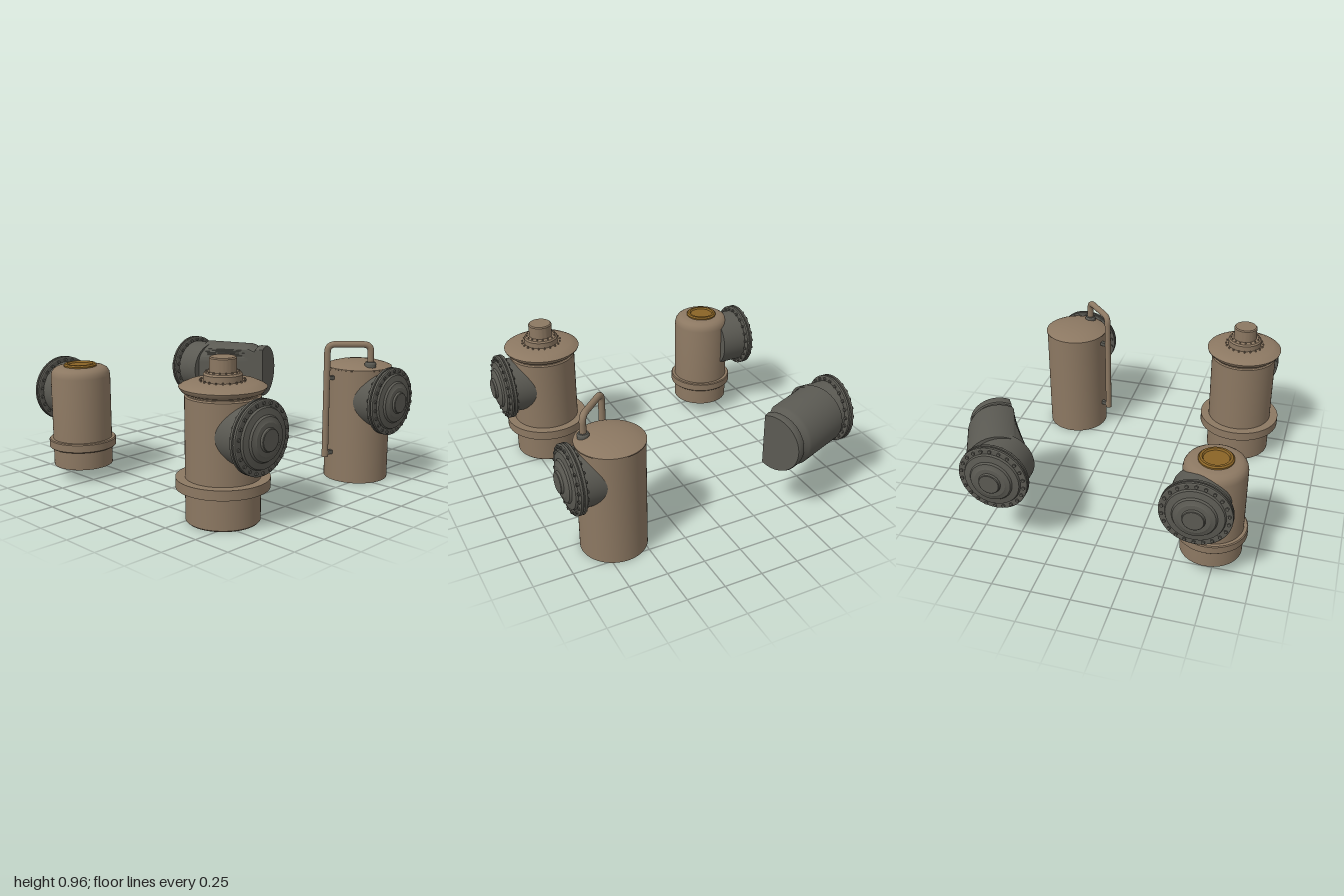
import * as THREE from 'three';
import { toCreasedNormals } from 'three/addons/utils/BufferGeometryUtils.js';

export function createModel() {
  const material = (name, color) => {
    const m = new THREE.MeshStandardMaterial({ color });
    m.name = name;
    return m;
  };
  const tan = material('tan paint', 0x8c7862);
  const grey = material('dark grey metal', 0x5b5a53);
  const gold = material('dull gold', 0x8a6426);

  const root = new THREE.Group();
  root.name = 'hatchTanks';

  const add = (parent, name, geometry, mat, x = 0, y = 0, z = 0) => {
    const mesh = new THREE.Mesh(geometry, mat);
    mesh.name = name;
    mesh.position.set(x, y, z);
    parent.add(mesh);
    return mesh;
  };
  const turned = (profile, segments = 64) =>
    new THREE.LatheGeometry(profile.map(([r, y]) => new THREE.Vector2(r, y)), segments);
  const lathe = (profile) => toCreasedNormals(turned(profile), 0.5);
  const makeGroup = (name, x, y, z) => {
    const g = new THREE.Group();
    g.name = name;
    g.position.set(x, y, z);
    root.add(g);
    return g;
  };

  // Ring of small bolts standing along y
  const boltRing = (parent, name, count, radius, y, size, height, mat) => {
    const g = new THREE.Group();
    g.name = name;
    const geo = toCreasedNormals(new THREE.CylinderGeometry(size, size, height, 6), 0.5);
    for (let i = 0; i < count; i++) {
      const a = ((i + 0.5) / count) * Math.PI * 2;
      add(g, 'bolt', geo, mat, Math.cos(a) * radius, y, Math.sin(a) * radius);
    }
    parent.add(g);
  };

  // Bolted round hatch on a short neck; side = 1 faces front, -1 faces back
  const hatch = (x, side, neckStart) => {
    const g = makeGroup('hatch', x, 0.548, 0);
    g.rotation.x = side * Math.PI / 2;
    add(g, 'hatchNeck', lathe([[0, neckStart], [0.185, neckStart], [0.185, 0.9]]), grey);
    add(g, 'hatchCover', lathe([
      [0.18, 0.893], [0.213, 0.893], [0.219, 0.897], [0.219, 0.912], [0.208, 0.914], [0.208, 0.919],
      [0.219, 0.921], [0.219, 0.936], [0.213, 0.94], [0.18, 0.94], [0.174, 0.953], [0.135, 0.96],
      [0.127, 0.972], [0.103, 0.978], [0.097, 0.982], [0.07, 0.984], [0.066, 0.997], [0.062, 1], [0, 1],
    ]), grey);
    boltRing(g, 'hatchBolts', 22, 0.199, 0.916, 0.011, 0.066, grey);
  };

  // Tank with a wide hat and a stepped cap
  const hatTank = makeGroup('hatTank', -0.664, 0, 0.63);
  add(hatTank, 'tankBody', lathe([
    [0, 0], [0.212, 0], [0.22, 0.008], [0.22, 0.742], [0.212, 0.75], [0, 0.75],
  ]), tan);
  add(hatTank, 'bodyBand', lathe([
    [0.21, 0.205], [0.276, 0.205], [0.276, 0.265], [0.21, 0.265],
  ]), tan);
  add(hatTank, 'hat', lathe([
    [0.205, 0.74], [0.205, 0.757], [0.235, 0.77], [0.25, 0.788], [0.253, 0.797],
    [0.235, 0.808], [0.2, 0.823], [0.113, 0.828],
  ]), tan);
  add(hatTank, 'cap', lathe([
    [0.113, 0.82], [0.113, 0.865], [0.105, 0.876], [0.078, 0.88],
    [0.078, 0.958], [0.071, 0.965], [0, 0.965],
  ]), tan);
  boltRing(hatTank, 'hatRivets', 20, 0.128, 0.83, 0.006, 0.014, tan);
  boltRing(hatTank, 'capRivets', 16, 0.094, 0.88, 0.005, 0.012, tan);
  hatch(-0.664, 1, 0.65);

  // Plain tank with a low domed lid
  const pipeTank = makeGroup('pipeTank', 0.574, 0, 0.66);
  add(pipeTank, 'tankBody', lathe([[0, 0], [0.211, 0], [0.211, 0.75]]), tan);
  add(pipeTank, 'domedLid', lathe([
    [0.208, 0.743], [0.216, 0.746], [0.216, 0.753], [0.19, 0.764], [0.14, 0.778], [0.08, 0.787], [0, 0.79],
  ]), tan);
  hatch(0.574, 1, 0.69);

  // Bent pipe rising from the lid and hanging down beside the body
  const foot = new THREE.Vector3(0.317, 0.165, 0.6);
  const outerTop = new THREE.Vector3(0.317, 0.912, 0.6);
  const innerTop = new THREE.Vector3(0.51, 0.912, 0.8);
  const inlet = new THREE.Vector3(0.51, 0.76, 0.8);
  const toward = (a, b, d) => a.clone().add(b.clone().sub(a).setLength(d));
  const bend = 0.05;
  const path = new THREE.CurvePath();
  let from = foot;
  [[outerTop, innerTop], [innerTop, inlet]].forEach(([corner, next]) => {
    const before = toward(corner, from, bend), after = toward(corner, next, bend);
    path.add(new THREE.LineCurve3(from, before));
    path.add(new THREE.QuadraticBezierCurve3(before, corner, after));
    from = after;
  });
  path.add(new THREE.LineCurve3(from, inlet));
  add(root, 'pipe', new THREE.TubeGeometry(path, 120, 0.021, 16), tan);
  const end = new THREE.CircleGeometry(0.021, 16);
  end.rotateX(Math.PI / 2);
  add(root, 'pipeEnd', end, tan, foot.x, foot.y, foot.z);
  add(root, 'pipeCollar', lathe([
    [0.037, 0.755], [0.037, 0.788], [0.03, 0.799], [0.02, 0.8],
  ]), grey, inlet.x, 0, inlet.z);
  for (const y of [0.19, 0.69]) {
    const clamp = add(root, 'pipeClamp', new THREE.BoxGeometry(0.05, 0.025, 0.025), grey, 0.35, y, 0.608);
    clamp.rotation.y = -0.23;
  }

  // Small round-shouldered tank with a gold filler ring
  const smallTank = makeGroup('smallTank', -0.717, 0, -0.647);
  add(smallTank, 'tankBody', lathe([
    [0, 0.085], [0.194, 0.085], [0.194, 0.685], [0.189, 0.71], [0.177, 0.729],
    [0.158, 0.741], [0.135, 0.746], [0, 0.746],
  ]), tan);
  add(smallTank, 'bodyBand', lathe([
    [0.19, 0.206], [0.214, 0.206], [0.22, 0.212], [0.22, 0.259], [0.214, 0.265], [0.19, 0.265],
  ]), tan);
  add(smallTank, 'fillerRing', lathe([
    [0.107, 0.74], [0.107, 0.755], [0.098, 0.764], [0.084, 0.765], [0.077, 0.754], [0, 0.754],
  ]), gold);
  hatch(-0.662, -1, 0.72);

  // Tilted grey tank, sliced along its inner side by an upright plane
  const tilted = turned([
    [0, -0.02], [0.2, -0.02], [0.2, 0.33], [0.195, 0.352], [0.182, 0.372], [0.178, 0.39],
    [0.187, 0.396], [0.19, 0.405], [0.19, 0.445], [0.186, 0.453], [0, 0.453],
  ], 96);
  tilted.rotateX(Math.PI / 2);
  const pos = tilted.attributes.position;
  for (let i = 0; i < pos.count; i++) {
    pos.setX(i, Math.max(pos.getX(i), -0.18 + 0.23 * pos.getZ(i)));
  }
  const tiltedTank = add(root, 'tiltedTank', toCreasedNormals(tilted, 0.5), grey, 0.608, 0.545, -0.765);
  tiltedTank.rotation.y = 0.384;
  hatch(0.577, -1, 0.72);

  return root;
}
